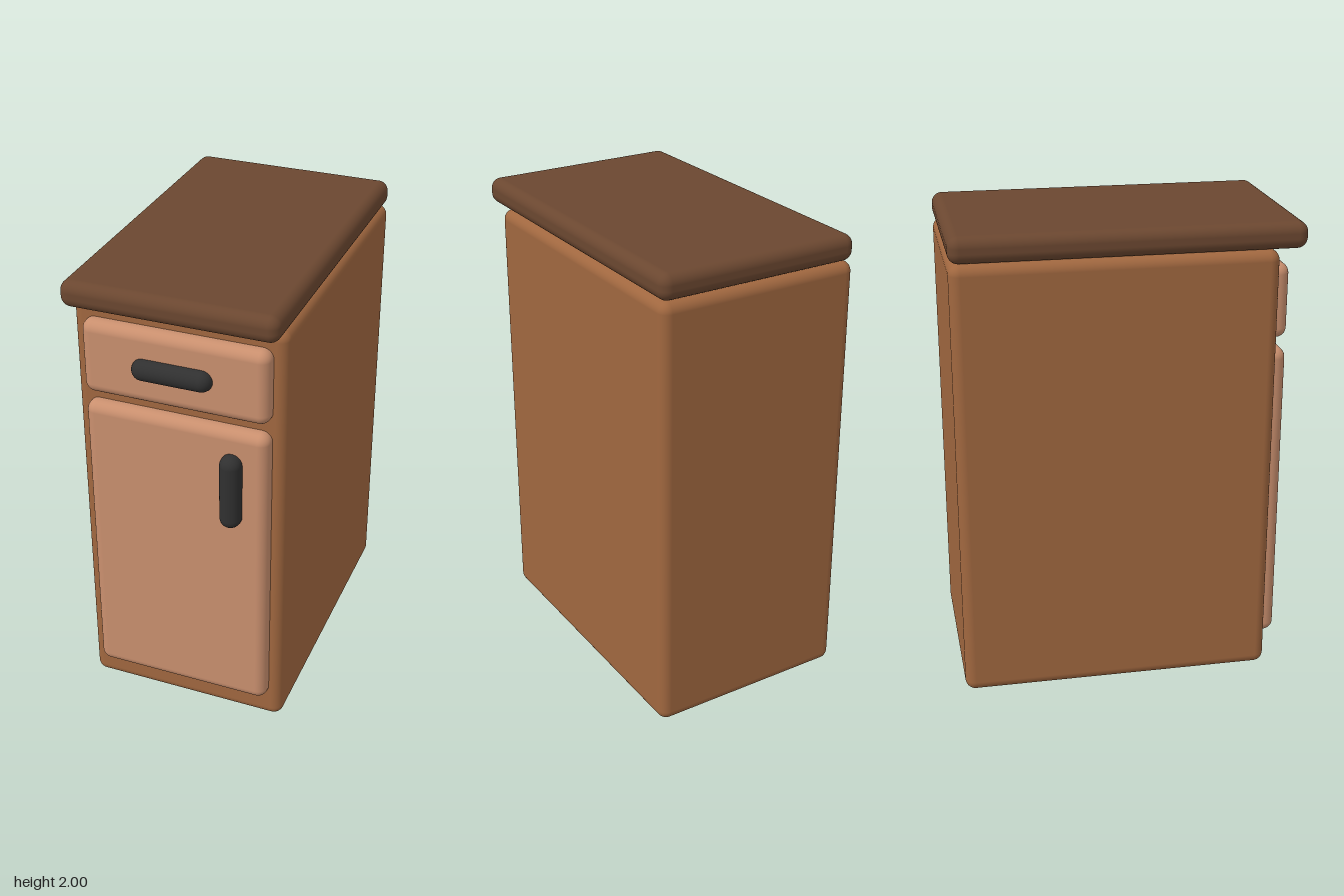
import * as THREE from 'three';
import { RoundedBoxGeometry } from 'three/addons/geometries/RoundedBoxGeometry.js';

const mat = (color) => new THREE.MeshStandardMaterial({ color });

// Rounded block given by its min and max corners
function block(name, min, max, radius, material) {
  const a = new THREE.Vector3(...min), b = new THREE.Vector3(...max);
  const size = b.clone().sub(a);
  const mesh = new THREE.Mesh(new RoundedBoxGeometry(size.x, size.y, size.z, 6, radius), material);
  mesh.position.copy(a.add(b).multiplyScalar(0.5));
  mesh.name = name;
  return mesh;
}

export function createModel() {
  const group = new THREE.Group();
  group.name = 'cabinet';
  const wood = mat(0xa0673f), panel = mat(0xc98f6e), darkWood = mat(0x6b4730), black = mat(0x303030);

  group.add(
    // Carcass and overhanging worktop
    block('body', [-0.443, 0, -0.72], [0.443, 1.89, 0.61], 0.044, wood),
    block('countertop', [-0.443, 1.89, -0.72], [0.443, 2, 0.724], 0.044, darkWood),
    // Fronts, sunk into the carcass
    block('drawerFront', [-0.389, 1.502, 0.555], [0.389, 1.82, 0.667], 0.044, panel),
    block('doorFront', [-0.389, 0.125, 0.555], [0.389, 1.458, 0.667], 0.044, panel),
    // Pill-shaped handles
    block('drawerHandle', [-0.168, 1.616, 0.623], [0.165, 1.705, 0.712], 0.0444, black),
    block('doorHandle', [0.197, 1.026, 0.613], [0.286, 1.358, 0.724], 0.0444, black),
  );
  return group;
}
